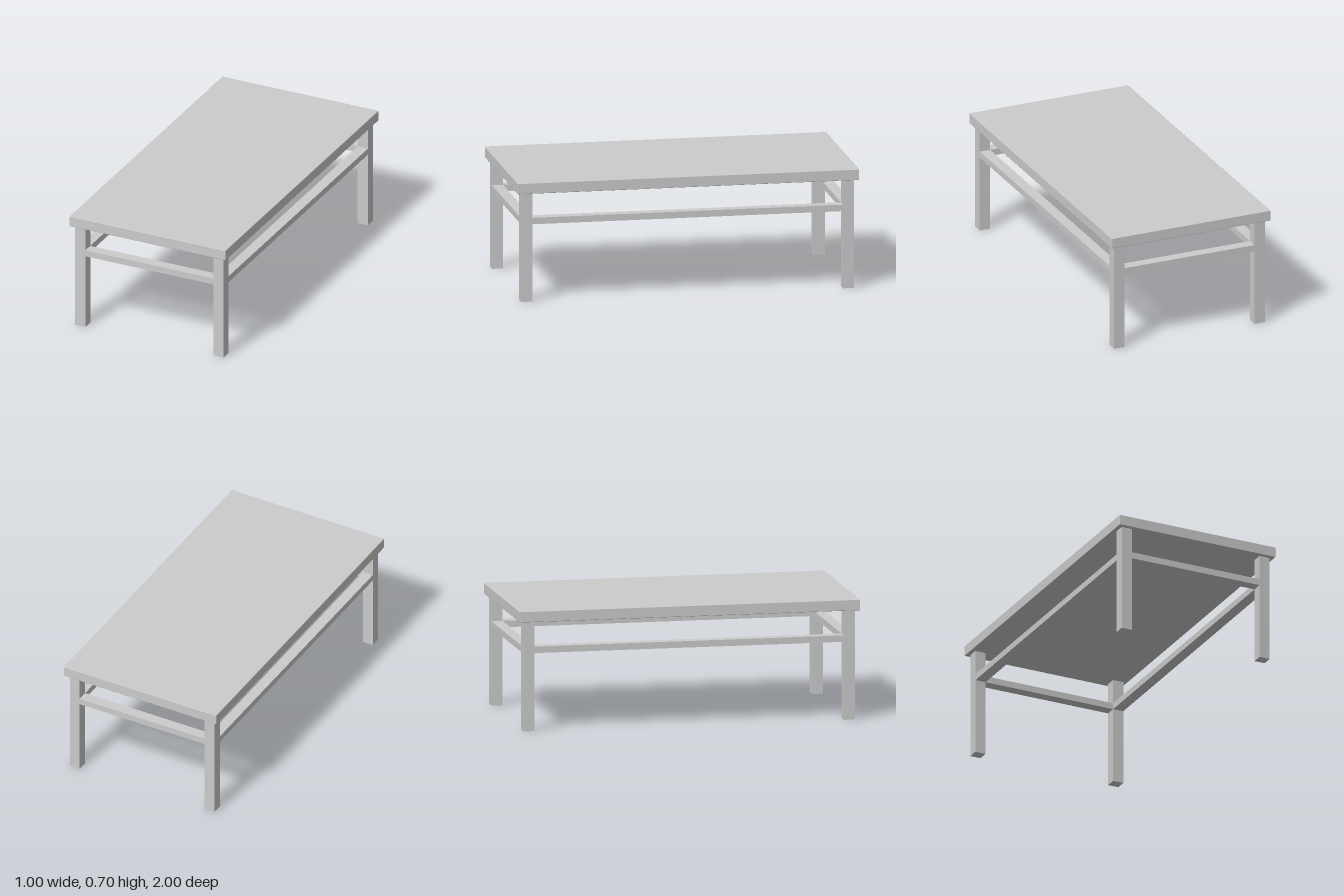
import * as THREE from 'three';
import { RoundedBoxGeometry } from 'three/addons/geometries/RoundedBoxGeometry.js';

const LEG = 0.065;            // square leg section, also the stretcher width
const LEG_X = 0.4425, LEG_Z = 0.9425;
const TOP_Y = 0.703, TOP_H = 0.063;
const RAIL_Y = 0.474, RAIL_H = 0.038;

export function createModel() {
  const table = new THREE.Group();
  table.name = 'table';
  const material = new THREE.MeshStandardMaterial({ color: 0xcccccc });

  const add = (name, geometry, x, y, z) => {
    const mesh = new THREE.Mesh(geometry, material);
    mesh.name = name;
    mesh.position.set(x, y, z);
    table.add(mesh);
  };

  // Slab top with a very fine eased edge
  add('tableTop', new RoundedBoxGeometry(1, TOP_H, 2, 2, 0.003), 0, TOP_Y - TOP_H / 2, 0);

  // Four square legs, set slightly in from the edges
  const legH = TOP_Y - TOP_H;
  const legGeometry = new THREE.BoxGeometry(LEG, legH, LEG);
  for (const [side, sx] of [['Left', 1], ['Right', -1]]) {
    for (const [end, sz] of [['front', 1], ['back', -1]]) {
      add(`${end}${side}Leg`, legGeometry, sx * LEG_X, legH / 2, sz * LEG_Z);
    }
  }

  // Stretchers flush with the legs, running between their inner faces
  const longRail = new THREE.BoxGeometry(LEG, RAIL_H, 2 * LEG_Z - LEG);
  const shortRail = new THREE.BoxGeometry(2 * LEG_X - LEG, RAIL_H, LEG);
  add('leftStretcher', longRail, LEG_X, RAIL_Y, 0);
  add('rightStretcher', longRail, -LEG_X, RAIL_Y, 0);
  add('frontStretcher', shortRail, 0, RAIL_Y, LEG_Z);
  add('backStretcher', shortRail, 0, RAIL_Y, -LEG_Z);

  return table;
}
